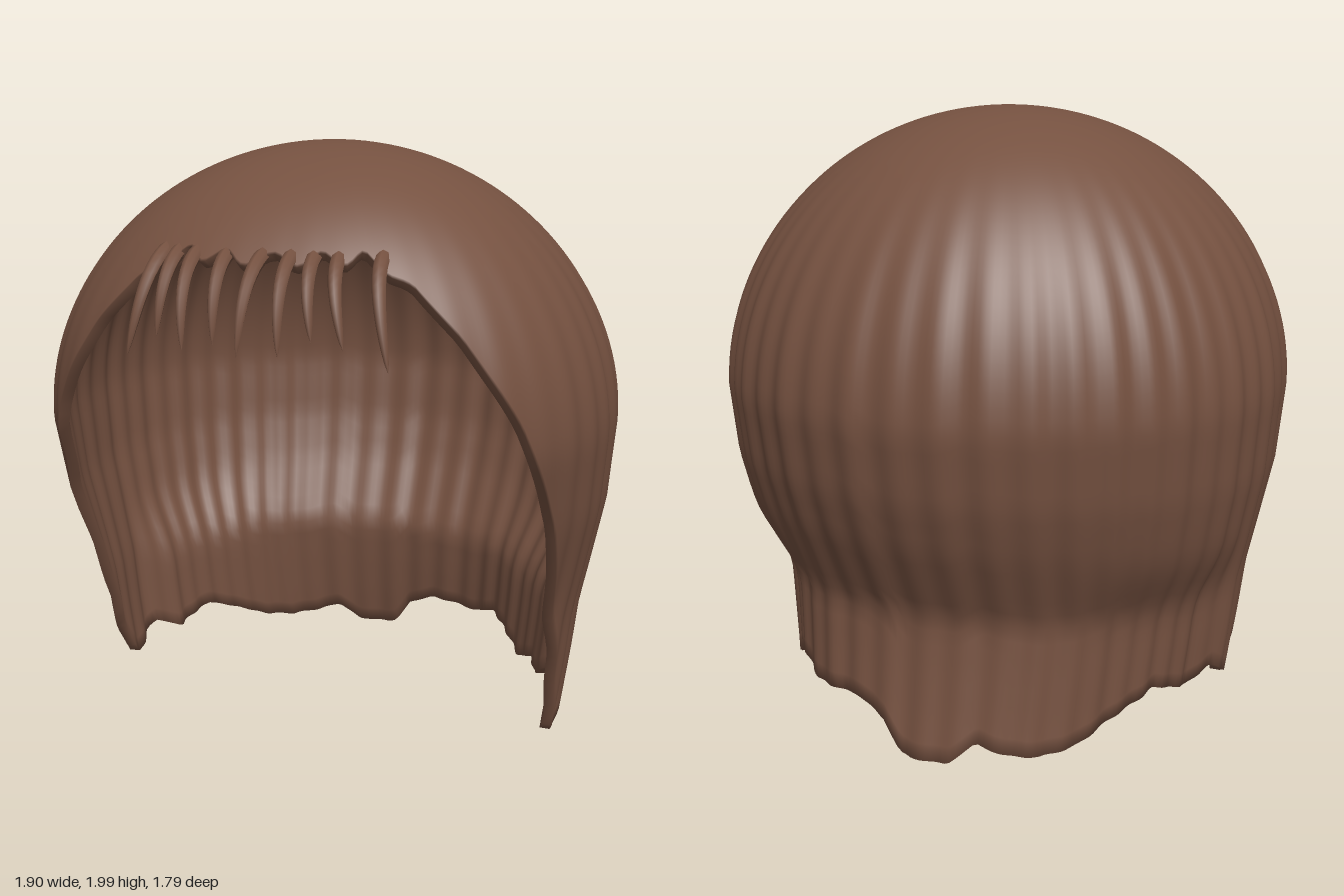
import * as THREE from 'three';

const { clamp, degToRad, smoothstep } = THREE.MathUtils;

// Linear lookup in a list of [key, value] pairs with rising keys
function lookup(table, k) {
  let i = 1;
  while (i < table.length - 1 && table[i][0] < k) i++;
  const [k0, v0] = table[i - 1], [k1, v1] = table[i];
  return v0 + (v1 - v0) * clamp((k - k0) / (k1 - k0), 0, 1);
}

// Half width, back depth and front depth of the hair below its widest level
const SIDE = [[0, 0.79], [0.15, 0.81], [0.3, 0.83], [0.48, 0.85], [0.6, 0.875], [0.85, 0.925], [1.1, 0.945]];
const BACK = [[0, 0.765], [0.15, 0.735], [0.3, 0.71], [0.46, 0.69], [0.6, 0.755], [0.72, 0.81], [0.88, 0.86], [1.1, 0.89]];
const FRONT = [[0, 0.5], [0.3, 0.6], [0.6, 0.68], [0.85, 0.8], [1.1, 0.9]];

// Height of the hem by angle in degrees: 0 is the front, + is the model's left
const HEM = [
  [-180, 0.01], [-171, 0.01], [-165, 0.08], [-158, 0.05], [-150, 0.04], [-141, 0.06], [-131, 0.12],
  [-119, 0.18], [-105, 0.13], [-97, 0.18], [-90, 0.12], [-86, 0.1], [-82, 0.14], [-75.5, 0.3], [-66, 0.6],
  [-60.5, 0.85], [-50, 1.2], [-39, 1.47], [-31, 1.61], [-21, 1.69], [0, 1.68], [21, 1.69], [31, 1.61],
  [39, 1.47], [50, 1.2], [60.5, 0.85], [66, 0.6], [75.5, 0.3], [83, 0.03], [86, 0], [89, 0.05], [97, 0.19],
  [104, 0.11], [112, 0.14], [122, 0.09], [131, 0.15], [141, 0.19], [150, 0.15], [165, 0.16],
  [173, 0.11], [177, 0.02], [180, 0.01],
];

function hemHeight(deg) {
  const wave = 0.018 * Math.sin(deg * 0.62 + 1) * (1 - smoothstep(Math.abs(deg), 18, 34));
  return lookup(HEM, deg) + wave;
}

// Point on the outer hair surface
function hairPoint(deg, y) {
  const phi = degToRad(deg), a = Math.abs(deg);
  const up = Math.max(0, (y - 1.1) / 0.9);
  const dome = Math.sqrt(Math.max(0, 1 - up * up));
  const s = Math.sin(phi), c = Math.cos(phi);
  const e = c > 0 ? 0.909 : 1;
  let x = Math.sign(s) * Math.abs(s) ** e * lookup(SIDE, y) * dome;
  let z = Math.sign(c) * Math.abs(c) ** e * lookup(c > 0 ? FRONT : BACK, y) * dome;
  // combed ridges fade out at the crown and over the forehead
  const ridge = Math.sin(46 * phi + 1.5 * Math.sin(3 * phi) + 0.7 * y) + 0.4 * Math.sin(23 * phi + 2);
  const fade = (1 - smoothstep(y, 1.2, 1.95)) * (0.25 + 0.75 * smoothstep(a, 45, 85));
  // the nape is tucked in behind the side locks
  const tuck = 0.07 * (1 - smoothstep(y, 0.38, 0.68)) * smoothstep(a, 92, 106) * (1 - smoothstep(a, 125, 155));
  const k = 1 + 0.007 * ridge * fade - tuck;
  x *= k;
  z = z * k + 0.04 * up;
  return new THREE.Vector3(x, y, z);
}

// Closed shell: outer surface down to the hem, then the lining back up
function shellGeometry() {
  const cols = 300, rows = 60, pos = [], index = [];
  const ring = (t, depth) => {
    for (let c = 0; c < cols; c++) {
      const deg = -180 + (360 * c) / cols;
      const y = 2 - (2 - hemHeight(deg)) * (1 - Math.cos((t * Math.PI) / 2));
      const p = hairPoint(deg, y);
      const inward = new THREE.Vector3(p.x, Math.max(0, p.y - 1.1), p.z).normalize();
      p.addScaledVector(inward, -depth);
      pos.push(p.x, p.y, p.z);
    }
  };
  for (let r = 0; r <= rows; r++) ring(r / rows, 0);
  for (let r = rows; r >= 0; r--) ring(r / rows, 0.035 + 0.02 * (1 - r / rows));
  const total = 2 * rows + 2;
  for (let r = 0; r < total - 1; r++) {
    for (let c = 0; c < cols; c++) {
      const n = (c + 1) % cols;
      const a = r * cols + c, b = a + cols, d = (r + 1) * cols + n, f = r * cols + n;
      index.push(a, b, d, a, d, f);
    }
  }
  const g = new THREE.BufferGeometry();
  g.setAttribute('position', new THREE.Float32BufferAttribute(pos, 3));
  g.setIndex(index);
  g.computeVertexNormals();
  return g;
}

// Curved strand that swells slightly and then tapers to a point
function strandGeometry(rootX, tipX, tipY, tipZ) {
  const rootZ = 0.67 - 0.5 * rootX * rootX;
  const curve = new THREE.QuadraticBezierCurve3(
    new THREE.Vector3(rootX, 1.7, rootZ - 0.05),
    new THREE.Vector3(rootX, 1.69, tipZ - 0.03),
    new THREE.Vector3(tipX, tipY, tipZ));
  const steps = 14, sides = 8;
  const g = new THREE.TubeGeometry(curve, steps, 1, sides, false);
  const p = g.attributes.position, v = new THREE.Vector3();
  for (let i = 0; i <= steps; i++) {
    const t = i / steps, centre = curve.getPointAt(t);
    const width = 0.029 * Math.pow(1 - t, 0.65) * (0.8 + 0.5 * t);
    for (let j = 0; j <= sides; j++) {
      const k = i * (sides + 1) + j;
      v.fromBufferAttribute(p, k).sub(centre).multiplyScalar(width).add(centre);
      p.setXYZ(k, v.x, v.y, v.z);
    }
  }
  g.computeVertexNormals();
  return g;
}

export function createModel() {
  const model = new THREE.Group();
  model.name = 'hair';
  const brown = new THREE.MeshStandardMaterial({ color: 0x755140 });
  brown.name = 'brown hair';

  const shell = new THREE.Mesh(shellGeometry(), brown);
  shell.name = 'hairShell';
  model.add(shell);

  // Fringe: root x, tip x, tip y, tip z
  const fringe = new THREE.Group();
  fringe.name = 'fringe';
  [
    [-0.35, -0.405, 1.4, 0.8], [-0.3, -0.31, 1.46, 0.8], [-0.235, -0.21, 1.43, 0.85],
    [-0.135, -0.12, 1.45, 0.84], [-0.02, -0.03, 1.43, 0.89], [0.065, 0.085, 1.43, 0.87],
    [0.13, 0.17, 1.47, 0.83], [0.2, 0.26, 1.45, 0.82], [0.32, 0.385, 1.39, 0.8],
  ].forEach((s, i) => {
    const strand = new THREE.Mesh(strandGeometry(...s), brown);
    strand.name = `fringeStrand${i + 1}`;
    fringe.add(strand);
  });
  model.add(fringe);
  return model;
}
